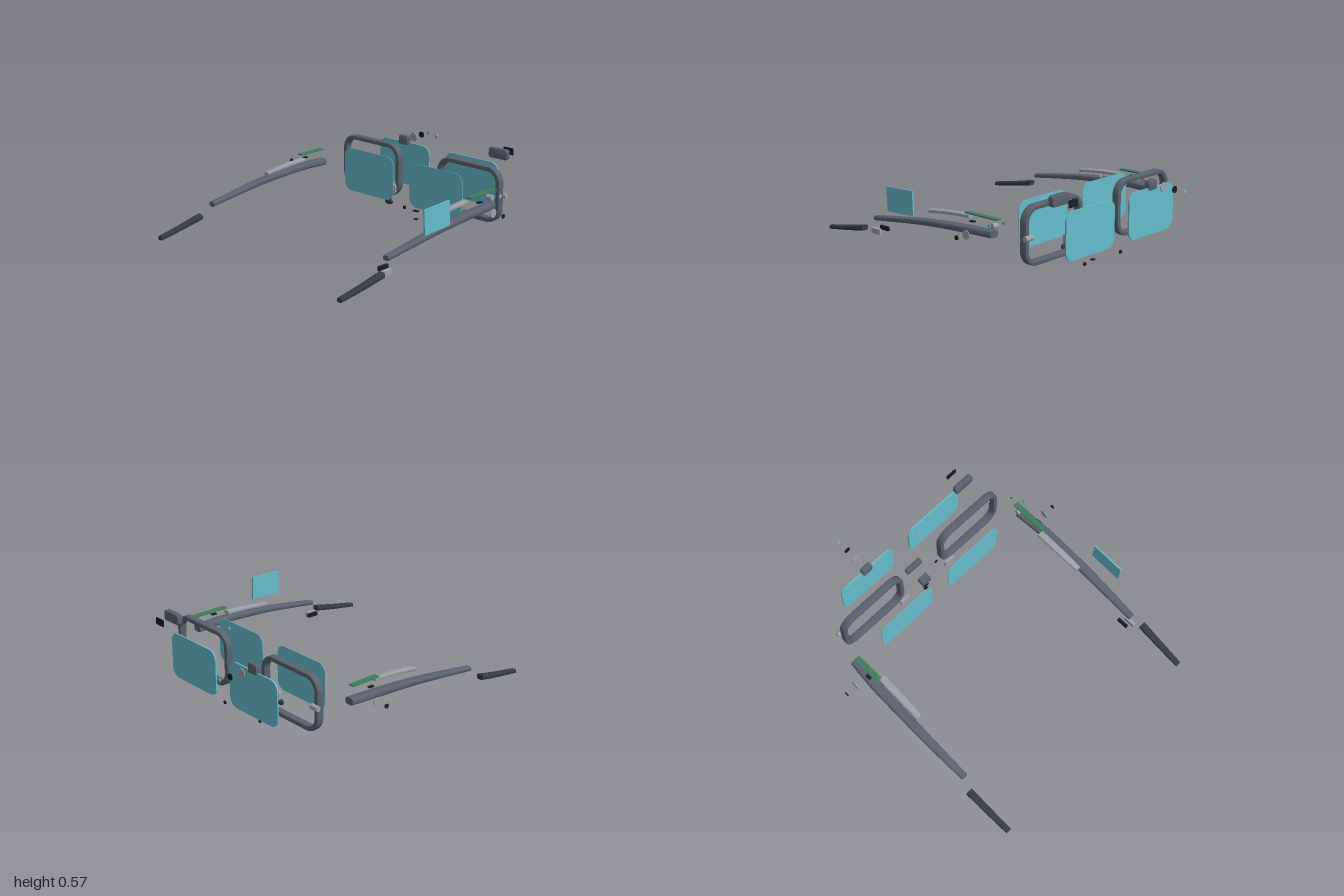
import * as THREE from 'three';
import { toCreasedNormals } from 'three/addons/utils/BufferGeometryUtils.js';

const mat = (name, color) => Object.assign(new THREE.MeshStandardMaterial({ color }), { name });
const slate = mat('slate frame', 0x5a626e);
const silver = mat('light metal', 0x9da0a6);
const dark = mat('dark rubber', 0x363b40);
const black = mat('black', 0x1b1c20);
const teal = mat('teal glass', 0x66bccb);
const green = mat('circuit green', 0x3d7d5d);

// Rounded rectangle outline centred on the origin
function roundedRect(w, h, r, Type = THREE.Shape) {
  const s = new Type(), x = w / 2, y = h / 2;
  s.moveTo(-x + r, -y);
  s.lineTo(x - r, -y);
  s.absarc(x - r, -y + r, r, -Math.PI / 2, 0);
  s.lineTo(x, y - r);
  s.absarc(x - r, y - r, r, 0, Math.PI / 2);
  s.lineTo(-x + r, y);
  s.absarc(-x + r, y - r, r, Math.PI / 2, Math.PI);
  s.lineTo(-x, -y + r);
  s.absarc(-x + r, -y + r, r, Math.PI, Math.PI * 1.5);
  return s;
}

// Rounded plate with its thickness along z
function slab(w, h, d, r, hole, bevel = 0) {
  const s = roundedRect(w - 2 * bevel, h - 2 * bevel, r - bevel);
  if (hole) s.holes.push(roundedRect(hole.w + 2 * bevel, hole.h + 2 * bevel, hole.r + bevel, THREE.Path));
  const g = new THREE.ExtrudeGeometry(s, {
    depth: d - 2 * bevel, curveSegments: 8, bevelEnabled: bevel > 0,
    bevelSize: bevel, bevelThickness: bevel, bevelSegments: 2,
  });
  g.translate(0, 0, -d / 2 + bevel);
  return toCreasedNormals(g, 0.7);
}

// Rounded bar along z; stations are [z, x, y, width, height]
function bar(stations, side, round = 0.3) {
  const g = new THREE.ExtrudeGeometry(roundedRect(1, 1, round), {
    depth: 1, steps: 20, curveSegments: 3, bevelEnabled: false,
  });
  const path = new THREE.CatmullRomCurve3(stations.map(([z, x, y]) => new THREE.Vector3(side * x, y, z)));
  const size = new THREE.CatmullRomCurve3(stations.map((s) => new THREE.Vector3(s[3], s[4], 0)));
  const p = g.attributes.position;
  for (let i = 0; i < p.count; i++) {
    const t = p.getZ(i), c = path.getPoint(t), k = size.getPoint(t);
    p.setXYZ(i, c.x + p.getX(i) * k.x, c.y + p.getY(i) * k.y, c.z);
  }
  return toCreasedNormals(g, 0.7);
}

// Disc or barrel along the x or z axis
function disc(r, length, axis) {
  const g = new THREE.CylinderGeometry(r, r, length, 24);
  return axis === 'x' ? g.rotateZ(Math.PI / 2) : g.rotateX(Math.PI / 2);
}

export function createModel() {
  const model = new THREE.Group();
  model.name = 'explodedSmartGlasses';
  const add = (name, geo, material, x = 0, y = 0, z = 0) => {
    const m = new THREE.Mesh(geo, material);
    m.name = name;
    m.position.set(x, y, z);
    model.add(m);
    return m;
  };
  const box = (w, h, d) => new THREE.BoxGeometry(w, h, d);

  for (const s of [1, -1]) {
    // Rim and its front and back lenses
    add('rim', slab(0.503, 0.363, 0.048, 0.1, { w: 0.443, h: 0.303, r: 0.07 }, 0.006), slate, s * 0.416, 0.291, -0.569);
    add('frontLens', slab(0.432, 0.295, 0.004, 0.06), teal, s * 0.287, 0.292, -0.386);
    add('backLens', slab(0.437, 0.295, 0.01, 0.06), teal, s * 0.287, 0.292, -0.75);

    // Hinge barrel
    add('hingeBarrel', disc(0.017, 0.06, 'x'), silver, s * 0.656, 0.292, -0.602);

    // Nose pad, its mount and screw
    const pad = add('nosePad', new THREE.SphereGeometry(1, 20, 14), dark, s * 0.172, 0.11, -0.458);
    pad.scale.set(0.034, 0.021, 0.014);
    add('nosePadMount', slab(0.08, 0.062, 0.017, 0.012), silver, s * 0.195, 0.183, -0.507);
    add('noseScrew', disc(0.012, 0.006, 'z'), black, s * 0.17, 0.03, -0.614);

    // Temple arm and its tip
    add('temple', bar([
      [-0.4, 0.724, 0.292, 0.062, 0.045], [-0.2, 0.74, 0.291, 0.066, 0.044],
      [0, 0.744, 0.28, 0.064, 0.041], [0.2, 0.746, 0.262, 0.06, 0.037],
      [0.4, 0.745, 0.236, 0.053, 0.033], [0.593, 0.741, 0.209, 0.044, 0.03],
    ], s), slate);
    add('templeTip', bar([
      [0.665, 0.774, 0.138, 0.048, 0.036], [0.83, 0.77, 0.106, 0.043, 0.031],
      [1, 0.765, 0.078, 0.037, 0.026],
    ], s), dark);

    // Battery, circuit board and chip above the temple
    add('battery', bar([
      [-0.182, 0.692, 0.355, 0.042, 0.02], [-0.01, 0.694, 0.345, 0.041, 0.02],
      [0.155, 0.698, 0.326, 0.034, 0.02],
    ], s, 0.1), silver);
    const boardLength = s > 0 ? 0.255 : 0.205;
    add('circuitBoard', box(0.038, 0.008, boardLength), green, s * 0.718, 0.383, -0.175 - boardLength / 2);
    add('chip', box(0.022, 0.007, 0.035), black, s * 0.744, 0.345, -0.248);

    // Speaker discs floating outside the temple
    add('speakerDisc', disc(0.028, 0.006, 'x'), silver, s * 0.83, 0.288, -0.277);
    add('speakerCap', disc(0.014, 0.006, 'x'), black, s * 0.906, 0.287, -0.277);
  }

  // Bridge blocks and the parts below them
  add('bridgeBlock', slab(0.07, 0.04, 0.052, 0.006), slate, 0, 0.138, -0.54);
  add('bridgeCover', slab(0.126, 0.048, 0.032, 0.016, null, 0.004), slate, 0, 0.19, -0.641);
  add('bridgePlate', box(0.04, 0.006, 0.025), black, 0, 0.06, -0.535);
  add('bridgeSmallPlate', box(0.024, 0.007, 0.022), black, 0, 0.0035, -0.535);
  add('lightSensor', disc(0.012, 0.01, 'z'), silver, 0.074, 0.56, -0.645);

  // Display module and its chip
  add('displayModule', slab(0.142, 0.066, 0.037, 0.016, null, 0.004), slate, 0.529, 0.517, -0.72);
  add('displayChip', box(0.074, 0.044, 0.007), black, 0.527, 0.512, -0.822);

  // Camera housing and its lens stack
  add('cameraHousing', slab(0.077, 0.062, 0.036, 0.014, null, 0.004), slate, -0.289, 0.455, -0.745);
  add('cameraRing', disc(0.03, 0.006, 'z'), silver, -0.289, 0.455, -0.84);
  add('cameraSensor', disc(0.021, 0.006, 'z'), black, -0.289, 0.455, -0.922);
  add('cameraGlass', disc(0.012, 0.006, 'z'), teal, -0.289, 0.455, -0.997);

  // Touch plate outside the left temple
  const touch = add('touchPlate', box(0.01, 0.154, 0.225), teal, 0.837, 0.392, 0.265);
  touch.rotation.x = 0.04;

  // Button parts at the left temple's front end
  add('buttonCap', disc(0.012, 0.005, 'x'), teal, 0.777, 0.354, -0.414);
  add('buttonCore', disc(0.018, 0.04, 'x'), silver, 0.715, 0.338, -0.393);
  add('indicator', new THREE.SphereGeometry(0.008, 12, 8), green, 0.73, 0.374, -0.48);

  // Charging port behind the left temple
  add('chargingPort', box(0.016, 0.026, 0.074), black, 0.697, 0.137, 0.568);
  add('chargingContact', box(0.022, 0.034, 0.075), silver, 0.743, 0.123, 0.592);

  return model;
}
